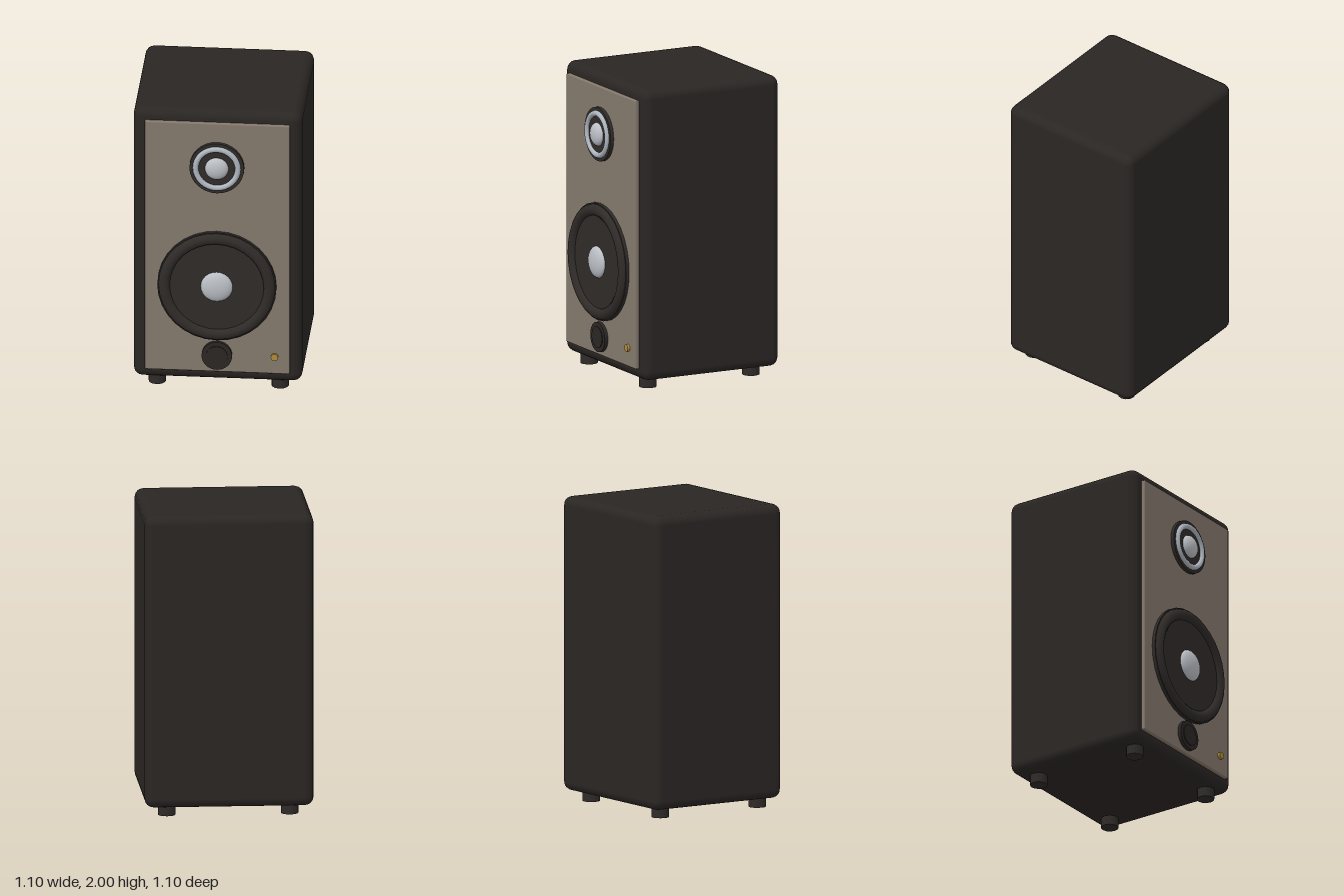
import * as THREE from 'three';
import { RoundedBoxGeometry } from 'three/addons/geometries/RoundedBoxGeometry.js';

const mat = (color) => new THREE.MeshStandardMaterial({ color });

export function createModel() {
  const group = new THREE.Group();
  const black = mat(0x2a2624);
  const dark = mat(0x2f2b29);
  const taupe = mat(0x84796d);
  const silver = mat(0xbcc0c6);
  const gold = mat(0xb08d3c);

  const add = (name, geometry, material, x, y, z) => {
    const mesh = new THREE.Mesh(geometry, material);
    mesh.name = name;
    mesh.position.set(x, y, z);
    group.add(mesh);
    return mesh;
  };
  // Disc facing +z, spanning z0 to z1
  const disc = (name, r, z0, z1, material, x, y, sides = 32) =>
    add(name, new THREE.CylinderGeometry(r, r, z1 - z0, sides).rotateX(Math.PI / 2),
      material, x, y, (z0 + z1) / 2);
  // Shallow dome bulging towards +z
  const dome = (name, r, h, material, y, z) =>
    add(name, new THREE.SphereGeometry(r, 24, 8, 0, Math.PI * 2, 0, Math.PI / 2)
      .rotateX(Math.PI / 2).scale(1, 1, h / r), material, 0, y, z);

  // Cabinet and front panel
  add('cabinet', new RoundedBoxGeometry(1.1, 1.935, 1.005, 2, 0.06), black, 0, 1.0325, -0.0475);
  add('frontPanel', new RoundedBoxGeometry(0.945, 1.785, 0.05, 1, 0.008), taupe, 0, 1.0325, 0.456);

  // Woofer
  const wy = 0.765;
  disc('wooferFrame', 0.388, 0.46, 0.503, dark, 0, wy);
  add('wooferSurround', new THREE.TorusGeometry(0.343, 0.04, 10, 32), dark, 0, wy, 0.495);
  disc('wooferCone', 0.31, 0.47, 0.506, dark, 0, wy);
  dome('wooferDustCap', 0.105, 0.043, silver, wy, 0.504);

  // Tweeter
  const ty = 1.615;
  disc('tweeterFrame', 0.178, 0.46, 0.505, dark, 0, ty);
  add('tweeterRing', new THREE.TorusGeometry(0.138, 0.019, 10, 32), mat(0xaeb6bf), 0, ty, 0.506);
  dome('tweeterDome', 0.077, 0.04, silver, ty, 0.505);

  // Bass port with a slightly raised centre, and the indicator
  disc('portRim', 0.099, 0.46, 0.505, black, 0, 0.265);
  disc('portCentre', 0.07, 0.47, 0.511, black, 0, 0.265);
  disc('indicator', 0.024, 0.46, 0.498, gold, 0.375, 0.265, 16);

  // Feet
  for (const x of [-0.4, 0.4]) {
    for (const z of [0.35, -0.41]) {
      add('foot', new THREE.CylinderGeometry(0.057, 0.057, 0.08, 12), dark, x, 0.04, z);
    }
  }
  return group;
}
